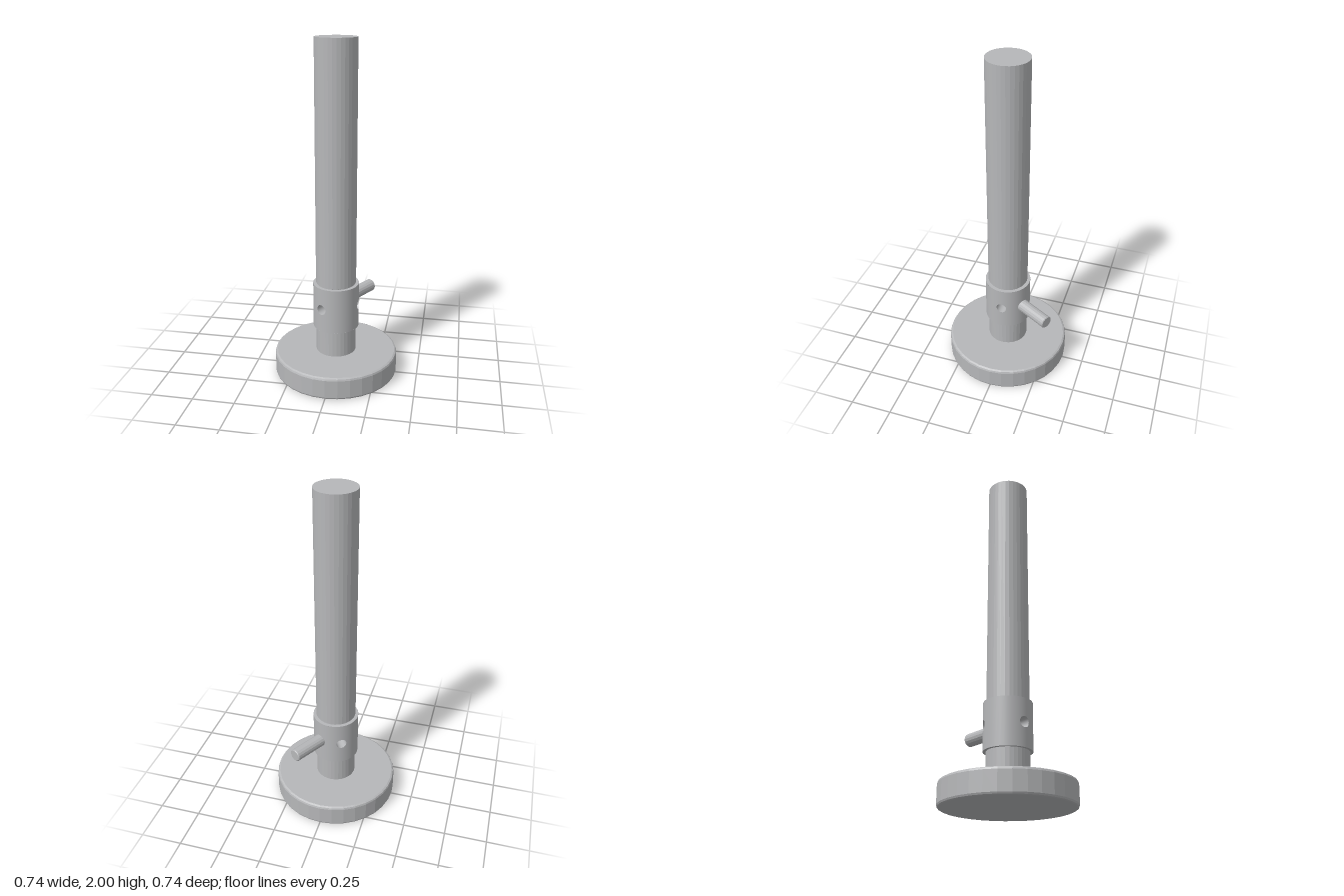
import * as THREE from 'three';
import { ParametricGeometry } from 'three/addons/geometries/ParametricGeometry.js';

const PIPE_R = 0.12, SLEEVE_R = 0.137;
const SLEEVE_BOTTOM = 0.3, SLEEVE_TOP = 0.574;
const HOLE_Y = 0.439, HOLE_R = 0.031, HOLE_FLOOR = 0.07;
const PATCH = 0.4; // half angle of the sleeve panel around each air hole

// Faceted normals for the low-poly parts
function flat(geometry) {
  const g = geometry.toNonIndexed();
  g.computeVertexNormals();
  return g;
}

// Turned solid from [radius, height] points, listed bottom to top
function turned(points, sides) {
  return flat(new THREE.LatheGeometry(points.map(([r, y]) => new THREE.Vector2(r, y)), sides));
}

// Sleeve wall from the round hole out to a square panel edge, facing +z
function holePanel(u, v, target) {
  const a = -u * Math.PI * 2;
  const c = Math.cos(a), s = Math.sin(a);
  const k = 1 / Math.max(Math.abs(c), Math.abs(s));
  const edgeY = s > 0 ? SLEEVE_TOP - HOLE_Y : HOLE_Y - SLEEVE_BOTTOM;
  const theta = THREE.MathUtils.lerp(Math.asin(HOLE_R * c / SLEEVE_R), PATCH * c * k, v);
  const y = THREE.MathUtils.lerp(HOLE_R * s, edgeY * s * k, v);
  target.set(SLEEVE_R * Math.sin(theta), HOLE_Y + y, SLEEVE_R * Math.cos(theta));
}

// Bore wall running inward from the curved hole rim
function holeBore(u, v, target) {
  const a = u * Math.PI * 2;
  const x = HOLE_R * Math.cos(a);
  const rim = Math.sqrt(SLEEVE_R * SLEEVE_R - x * x);
  target.set(x, HOLE_Y + HOLE_R * Math.sin(a), THREE.MathUtils.lerp(rim, HOLE_FLOOR, v));
}

export function createModel() {
  const model = new THREE.Group();
  model.name = 'gasBurner';
  const metal = new THREE.MeshStandardMaterial({ color: 0xb6b7b9, side: THREE.DoubleSide });
  metal.name = 'greyMetal';

  const add = (name, geometry, parent = model) => {
    const mesh = new THREE.Mesh(geometry, metal);
    mesh.name = name;
    parent.add(mesh);
    return mesh;
  };

  // Heavy round foot with softened rims
  add('base', turned([
    [0, 0], [0.36, 0], [0.368, 0.004], [0.372, 0.013],
    [0.372, 0.122], [0.368, 0.132], [0.358, 0.137], [0, 0.137],
  ], 32));

  // Pipe below and above the air collar
  add('lowerPipe', turned([[PIPE_R, 0.13], [PIPE_R, SLEEVE_BOTTOM + 0.01]], 32));
  add('barrel', turned([
    [PIPE_R - 0.004, SLEEVE_TOP - 0.005], [PIPE_R - 0.004, SLEEVE_TOP + 0.004],
    [PIPE_R, SLEEVE_TOP + 0.006], [PIPE_R, 2], [0, 2],
  ], 32));

  // Air collar: three pierced panels joined by plain wall sections
  const collar = new THREE.Group();
  collar.name = 'airCollar';
  model.add(collar);
  const height = SLEEVE_TOP - SLEEVE_BOTTOM;
  for (let i = 0; i < 3; i++) {
    const side = new THREE.Group();
    side.name = 'collarSide';
    side.rotation.y = Math.PI / 2 + i * Math.PI * 2 / 3;
    collar.add(side);
    add('holePanel', new ParametricGeometry(holePanel, 32, 6), side);
    add('airHoleBore', new ParametricGeometry(holeBore, 32, 1), side);
    add('airHoleFloor', new THREE.CircleGeometry(HOLE_R, 32), side)
      .position.set(0, HOLE_Y, HOLE_FLOOR);
    add('collarWall', new THREE.CylinderGeometry(SLEEVE_R, SLEEVE_R, height, 8, 1, true,
      PATCH, Math.PI * 2 / 3 - PATCH * 2), side).position.y = SLEEVE_BOTTOM + height / 2;
  }
  for (const [name, y, turn] of [['collarTop', SLEEVE_TOP, -1], ['collarUnderside', SLEEVE_BOTTOM, 1]]) {
    const ring = add(name, new THREE.RingGeometry(0.11, SLEEVE_R, 48), collar);
    ring.position.y = y;
    ring.rotation.x = turn * Math.PI / 2;
  }

  // Collar lever pointing back and to the model's left
  const lever = new THREE.Group();
  lever.name = 'leverMount';
  lever.position.y = HOLE_Y;
  lever.rotation.y = THREE.MathUtils.degToRad(150);
  model.add(lever);
  add('lever', turned([
    [0.038, 0.1], [0.038, 0.338], [0.034, 0.342], [0, 0.342],
  ], 16), lever).rotation.x = Math.PI / 2;

  return model;
}
